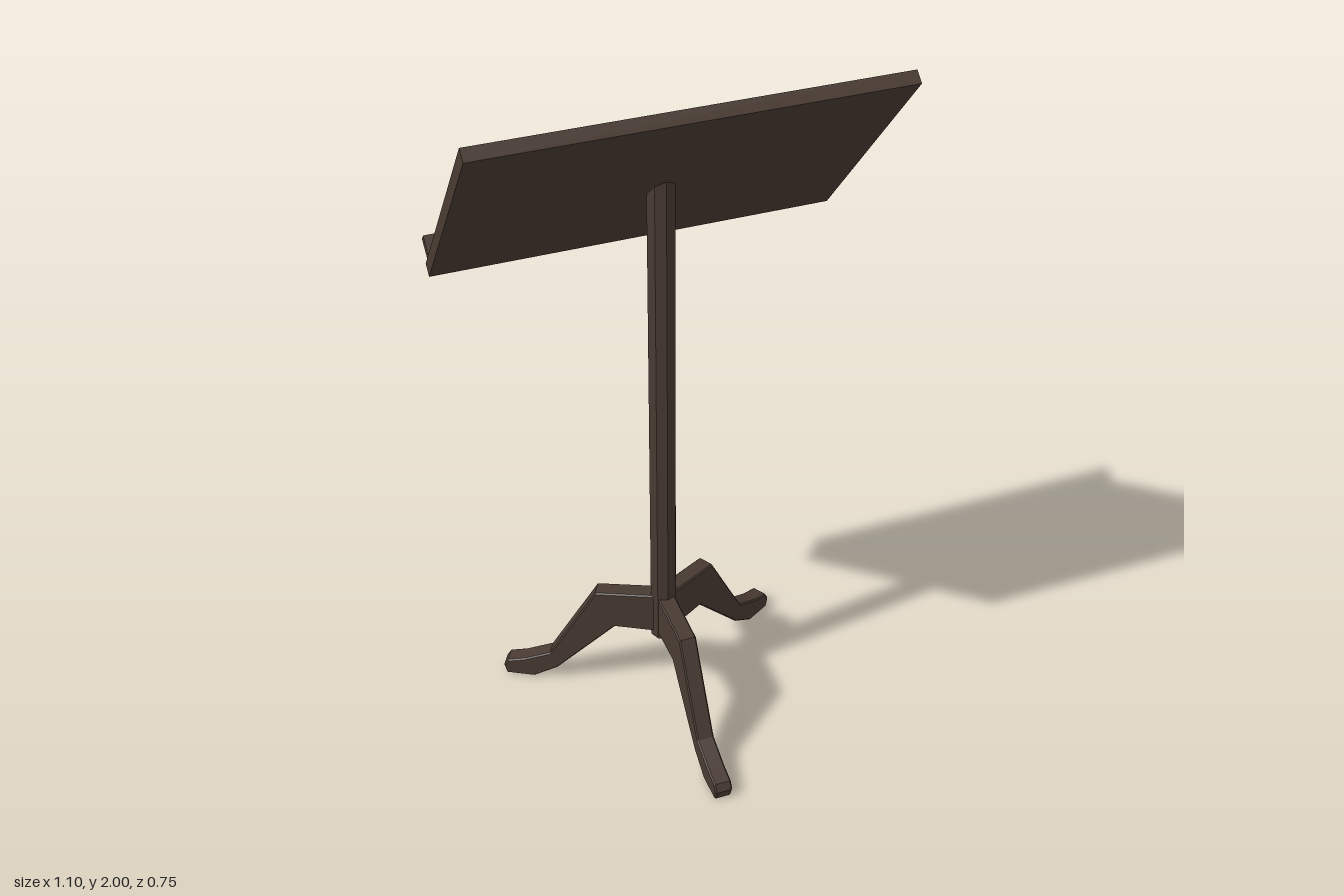
import * as THREE from 'three';

const POST_Z = -0.105, POST_R = 0.038;
const BOARD_W = 1.096, BOARD_L = 0.722, BOARD_T = 0.036;

export function createModel() {
  const model = new THREE.Group();
  model.name = 'lectern';

  const wood = new THREE.MeshStandardMaterial({ color: 0x483a32, flatShading: true });
  wood.name = 'dark wood';
  const inlay = new THREE.MeshStandardMaterial({ color: 0xe4e0dc, side: THREE.DoubleSide });
  inlay.name = 'pale inlay';

  const add = (parent, name, geometry, material) => {
    const mesh = new THREE.Mesh(geometry, material);
    mesh.name = name;
    parent.add(mesh);
    return mesh;
  };

  // Sloping desk: local y runs up the slope, local z points out of the reading face
  const desk = new THREE.Group();
  desk.name = 'desk';
  const up = new THREE.Vector3(0, 0.765, 0.644).normalize();
  const across = new THREE.Vector3(-1, 0, 0);
  const out = across.clone().cross(up);
  desk.quaternion.setFromRotationMatrix(new THREE.Matrix4().makeBasis(across, up, out));
  desk.position.set(0, 1.448, -0.335);
  model.add(desk);

  add(desk, 'board', new THREE.BoxGeometry(BOARD_W, BOARD_L, BOARD_T), wood)
    .position.set(0, BOARD_L / 2, -BOARD_T / 2);
  add(desk, 'bookLedge', new THREE.BoxGeometry(1.086, 0.025, 0.062), wood)
    .position.set(0, 0.0225, 0.031);

  // Thin rectangular inlay with clipped corners
  const clippedRect = (w, h, c, PathType) => {
    const p = new PathType();
    p.moveTo(-w + c, -h);
    [[w - c, -h], [w, -h + c], [w, h - c], [w - c, h], [-w + c, h], [-w, h - c], [-w, -h + c]]
      .forEach(([x, y]) => p.lineTo(x, y));
    p.closePath();
    return p;
  };
  const border = clippedRect(0.229, 0.226, 0.014, THREE.Shape);
  border.holes.push(clippedRect(0.211, 0.208, 0.012, THREE.Path));
  add(desk, 'inlayBorder', new THREE.ShapeGeometry(border), inlay).position.set(0, 0.385, 0.002);

  // Octagonal post, its top mitred to sit inside the sloping board
  const post = new THREE.CylinderGeometry(POST_R, POST_R, 1.4, 8);
  post.translate(0, 0.92, POST_Z);
  const pos = post.attributes.position;
  for (let i = 0; i < pos.count; i++) {
    if (pos.getY(i) > 1) pos.setY(i, 1.8 + (pos.getZ(i) - 0.008) * 1.187);
  }
  post.computeVertexNormals();
  add(model, 'post', post, wood);

  // Three cabriole legs, profile as radius from the post and height
  const profile = [
    [0, 0.37], [0.035, 0.368], [0.195, 0.355], [0.338, 0.1], [0.417, 0.065], [0.468, 0.052],
    [0.481, 0.03], [0.472, 0], [0.39, 0], [0.317, 0.045], [0.14, 0.235], [0, 0.235],
  ].map(([r, y]) => new THREE.Vector2(r, y));
  const legGeometry = new THREE.ExtrudeGeometry(new THREE.Shape(profile), {
    depth: 0.042, bevelEnabled: true, bevelThickness: 0.004,
    bevelSize: 0.004, bevelOffset: -0.004, bevelSegments: 1,
  });
  legGeometry.translate(0, 0, -0.021);
  ['frontLeg', 'leftLeg', 'rightLeg'].forEach((name, i) => {
    const leg = add(model, name, legGeometry, wood);
    leg.position.z = POST_Z;
    leg.rotation.y = -Math.PI / 2 + i * Math.PI * 2 / 3;
  });

  return model;
}
